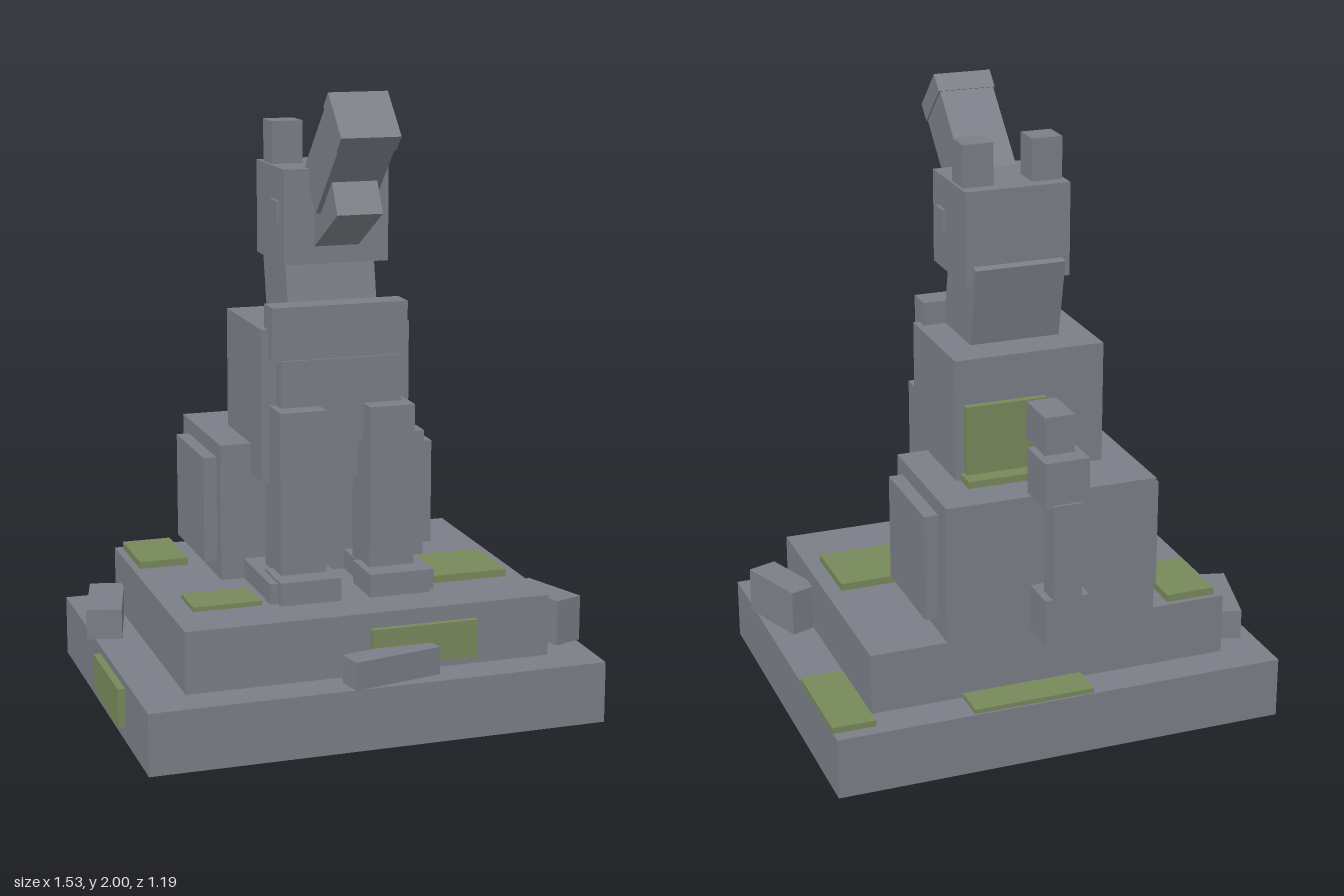
import * as THREE from 'three';

export function createModel() {
  const model = new THREE.Group();
  model.name = 'stoneStatue';
  const stone = new THREE.MeshStandardMaterial({ color: 0x7b7e86 });
  stone.name = 'grey stone';
  const moss = new THREE.MeshStandardMaterial({ color: 0x76895a });
  moss.name = 'green moss';

  // Box from its bounds on each axis
  function block(name, [x0, x1], [y0, y1], [z0, z1], material = stone) {
    const mesh = new THREE.Mesh(new THREE.BoxGeometry(x1 - x0, y1 - y0, z1 - z0), material);
    mesh.position.set((x0 + x1) / 2, (y0 + y1) / 2, (z0 + z1) / 2);
    mesh.name = name;
    model.add(mesh);
    return mesh;
  }

  // Box from its size, centre and rotation
  function tilted(name, size, position, rx, ry = 0) {
    const mesh = new THREE.Mesh(new THREE.BoxGeometry(...size), stone);
    mesh.position.set(...position);
    mesh.rotation.set(rx, ry, 0);
    mesh.name = name;
    model.add(mesh);
    return mesh;
  }

  // Mirrored pair about the statue's centre line
  const mid = 0.005;
  function pair(name, [a, b], y, z) {
    block('left' + name, [mid + a, mid + b], y, z);
    block('right' + name, [mid - b, mid - a], y, z);
  }

  // Stepped plinth
  block('plinthBase', [-0.74, 0.75], [0, 0.2], [-0.597, 0.593]);
  block('plinthStep', [-0.592, 0.602], [0.2, 0.4], [-0.475, 0.47]);

  // Body
  block('hindquarters', [-0.345, 0.352], [0.4, 0.85], [-0.475, -0.005]);
  pair('Thigh', [0.3, 0.393], [0.45, 0.8], [-0.4, -0.055]);
  block('torso', [-0.243, 0.25], [0.75, 1.245], [-0.277, 0.12]);
  block('lowerChest', [-0.195, 0.205], [0.875, 1.15], [0.08, 0.175]);
  block('upperChest', [-0.22, 0.228], [1.148, 1.32], [0.078, 0.168]);

  // Legs and feet
  pair('FrontLeg', [0.073, 0.223], [0.4, 1.0], [0.073, 0.243]);
  pair('FrontPaw', [0.048, 0.248], [0.4, 0.475], [0.15, 0.322]);
  pair('HindFoot', [0.07, 0.273], [0.4, 0.466], [-0.02, 0.293]);

  // Neck and head
  tilted('neck', [0.296, 0.35, 0.24], [0.006, 1.353, -0.052], -0.2);
  block('head', [-0.167, 0.177], [1.445, 1.745], [-0.177, 0.122]);
  pair('Eye', [0.15, 0.182], [1.573, 1.642], [0.002, 0.074]);
  pair('Ear', [0.063, 0.163], [1.73, 1.88], [-0.13, -0.033]);

  // Open jaws
  tilted('upperJaw', [0.18, 0.174, 0.36], [mid, 1.803, 0.256], -Math.PI / 4);
  tilted('nose', [0.19, 0.178, 0.065], [mid, 1.912, 0.365], -Math.PI / 4);
  tilted('lowerJaw', [0.146, 0.112, 0.26], [0.004, 1.614, 0.212], -0.51);

  // Upright tail
  block('tailBase', [-0.07, 0.076], [0.4, 0.55], [-0.597, -0.47]);
  block('tailStem', [-0.046, 0.052], [0.54, 0.86], [-0.597, -0.525]);
  block('tailBend', [-0.07, 0.076], [0.85, 1.0], [-0.588, -0.442]);
  block('tailTip', [-0.046, 0.052], [1.0, 1.122], [-0.525, -0.37]);

  // Fallen rubble on the plinth
  tilted('rightRubble', [0.115, 0.1, 0.29], [-0.675, 0.25, -0.26], 0, -0.255);
  tilted('leftRubble', [0.1, 0.15, 0.245], [0.673, 0.275, 0.265], 0, 0.343);
  tilted('frontRubble', [0.302, 0.09, 0.086], [0.053, 0.245, 0.524], 0, 0.205);

  // Moss patches
  [
    [[0.303, 0.55], [0.4, 0.424], [-0.005, 0.24]],
    [[-0.518, -0.296], [0.4, 0.415], [0.142, 0.29]],
    [[-0.568, -0.405], [0.4, 0.424], [-0.455, -0.205]],
    [[0.612, 0.752], [0.2, 0.22], [-0.553, -0.205]],
    [[-0.095, 0.303], [0.2, 0.215], [-0.59, -0.475]],
    [[-0.763, -0.74], [0.05, 0.175], [-0.055, 0.292]],
    [[0.002, 0.353], [0.227, 0.35], [0.47, 0.49]],
    [[-0.045, 0.222], [0.85, 1.098], [-0.3, -0.277]],
    [[0.002, 0.235], [0.85, 0.873], [-0.353, -0.277]],
  ].forEach((b, i) => block('mossPatch' + (i + 1), ...b, moss));

  return model;
}
